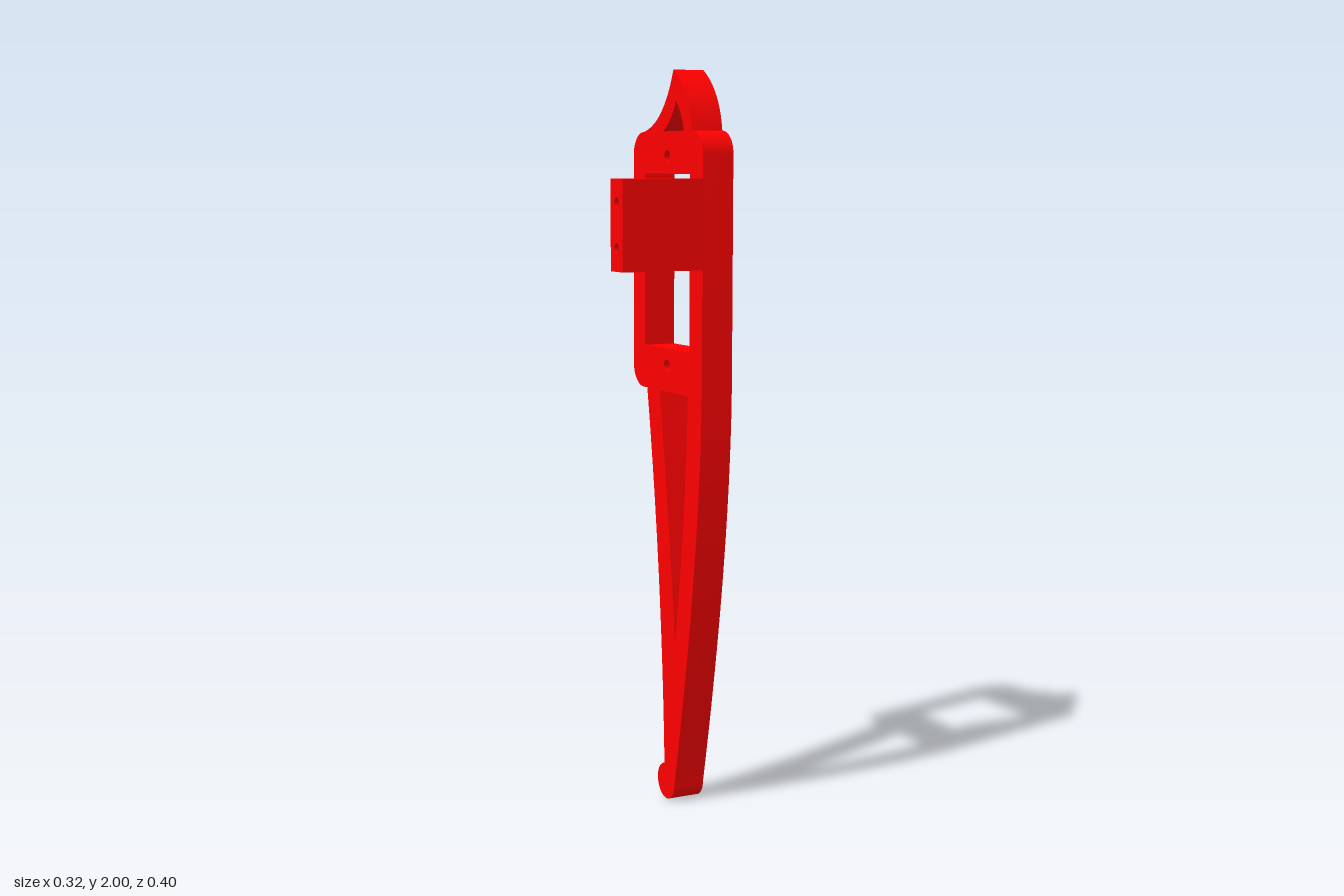
import * as THREE from 'three';
import { toCreasedNormals } from 'three/addons/utils/BufferGeometryUtils.js';

const material = new THREE.MeshStandardMaterial({ color: 0xff0000 });

// Closed path of straight points [z, y] and quadratic curves [cz, cy, z, y]
function trace(path, steps) {
  steps.forEach((s, i) => {
    if (i === 0) path.moveTo(s[0], s[1]);
    else if (s.length === 2) path.lineTo(s[0], s[1]);
    else path.quadraticCurveTo(...s);
  });
  return path;
}

const roundHole = (z, y, r) => new THREE.Path().absarc(z, y, r, 0, Math.PI * 2, false);

// Extrude a (z, y) side profile from xMax toward -x
function sidePlate(name, shape, xMax, depth) {
  const geo = new THREE.ExtrudeGeometry(shape, { depth, bevelEnabled: false, curveSegments: 16 });
  geo.rotateY(-Math.PI / 2);
  geo.translate(xMax, 0, 0);
  // enlarged while creasing, so that close vertices are told apart
  const creased = toCreasedNormals(geo.scale(100, 100, 100), 0.5).scale(0.01, 0.01, 0.01);
  const mesh = new THREE.Mesh(creased, material);
  mesh.name = name;
  return mesh;
}

const rect = (path, z0, z1, y0, y1) => trace(path, [[z0, y0], [z1, y0], [z1, y1], [z0, y1], [z0, y0]]);

export function createModel() {
  const group = new THREE.Group();
  group.name = 'servoArm';

  // Outline, clockwise: front leg edge, foot, rear leg edge, frame, hook
  const outline = new THREE.Shape();
  trace(outline, [[0.2, 1.2], [0.2, 0.75, 0.05, 0.05]]);
  outline.absarc(0, 0.05, 0.05, 0, -Math.PI * 1.44, true);
  outline.lineTo(-0.01, 0.1);
  outline.quadraticCurveTo(-0.027, 0.62, -0.117, 1.143);
  outline.lineTo(-0.14, 1.143);
  outline.absarc(-0.14, 1.203, 0.06, -Math.PI / 2, -Math.PI, true);
  outline.lineTo(-0.2, 1.78);
  outline.absarc(-0.14, 1.78, 0.06, Math.PI, Math.PI / 2, true);
  outline.quadraticCurveTo(-0.02, 1.86, 0.035, 2.0);
  outline.quadraticCurveTo(0.125, 1.945, 0.14, 1.84);
  outline.absarc(0.14, 1.78, 0.06, Math.PI / 2, 0, true);
  outline.lineTo(0.2, 1.2);

  // Openings, counter-clockwise so their walls face inward
  outline.holes.push(
    // servo window and its two screw holes
    rect(new THREE.Path(), -0.13, 0.13, 1.26, 1.728),
    roundHole(0, 1.773, 0.017),
    roundHole(0, 1.213, 0.017),
    // gap between the legs
    trace(new THREE.Path(), [[0.122, 1.143], [-0.042, 1.143], [0.014, 0.8, 0.052, 0.45], [0.11, 0.8, 0.122, 1.143]]),
    // opening in the hook
    trace(new THREE.Path(), [[-0.022, 1.84], [0.094, 1.84], [0.083, 1.887, 0.05, 1.918], [0.025, 1.868, -0.022, 1.84]])
  );
  group.add(sidePlate('legFrame', outline, 0.16, 0.09));

  // Side tab: solid root, then an end with two blind screw holes
  group.add(sidePlate('tabRoot', rect(new THREE.Shape(), 0.13, 0.2, 1.48, 1.716), 0.07, 0.13));
  const tabEnd = rect(new THREE.Shape(), 0.13, 0.2, 1.48, 1.716);
  for (const y of [1.54, 1.656]) tabEnd.holes.push(roundHole(0.165, y, 0.013));
  group.add(sidePlate('tabEnd', tabEnd, -0.06, 0.1));

  return group;
}
